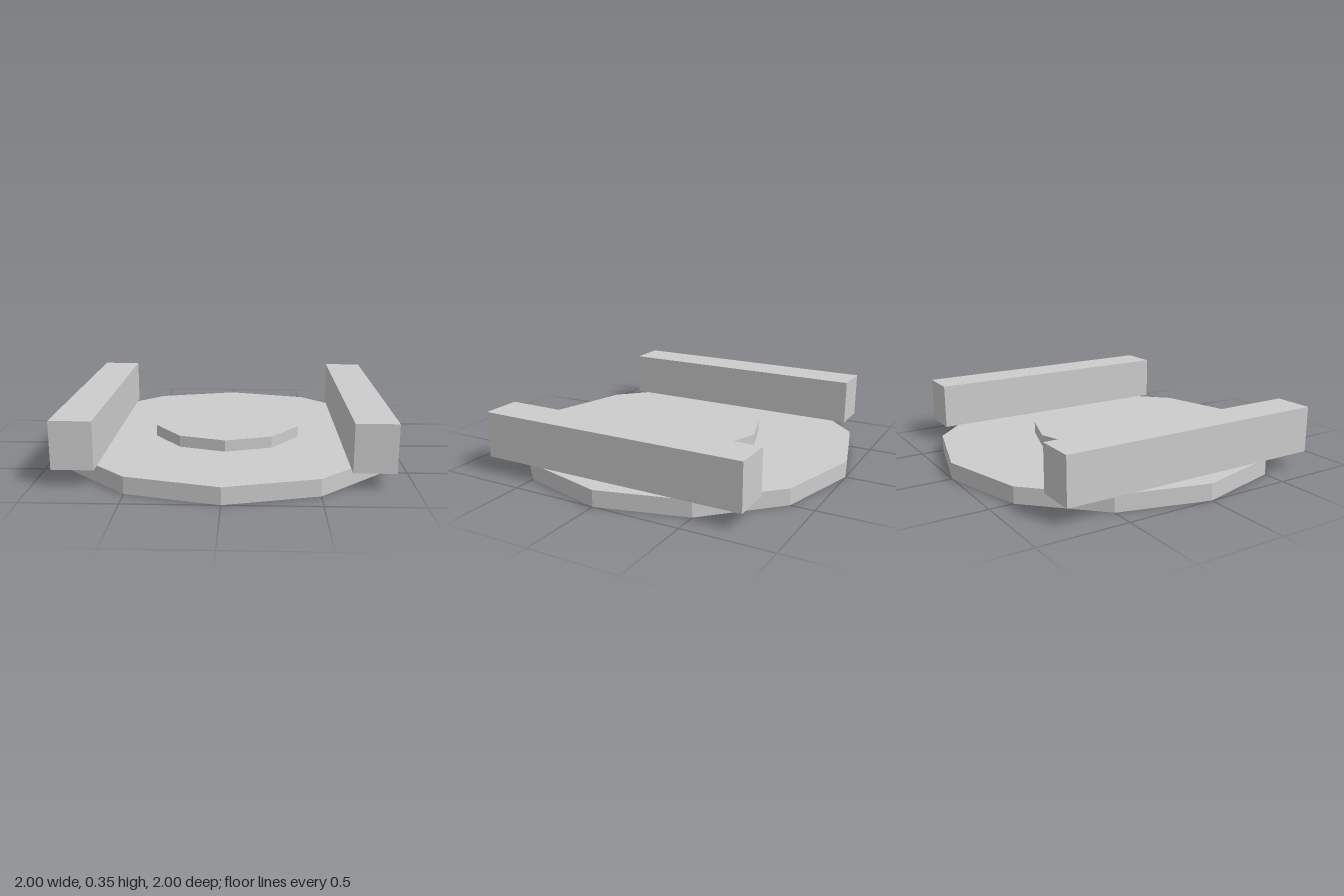
import * as THREE from 'three';

export function createModel() {
  const model = new THREE.Group();
  const grey = new THREE.MeshStandardMaterial({ color: 0xcccccc });
  grey.name = 'lightGrey';
  grey.flatShading = true;

  // Adds a part whose underside rests at the given height
  function addPart(name, geometry, x, bottom, height) {
    const mesh = new THREE.Mesh(geometry, grey);
    mesh.name = name;
    mesh.position.set(x, bottom + height / 2, 0);
    model.add(mesh);
  }

  const baseHeight = 0.093;
  const discHeight = 0.065;
  const railHeight = 0.262;

  // Twelve-sided base plate
  addPart('basePlate', new THREE.CylinderGeometry(1, 1, baseHeight, 12), 0, 0, baseHeight);

  // Ten-sided raised centre disc
  addPart('centreDisc', new THREE.CylinderGeometry(0.442, 0.442, discHeight, 10), 0, baseHeight, discHeight);

  // Long side rails, mirrored
  for (const side of [1, -1]) {
    addPart(side > 0 ? 'leftRail' : 'rightRail',
      new THREE.BoxGeometry(0.225, railHeight, 1.556), side * 0.778, baseHeight, railHeight);
  }

  return model;
}
